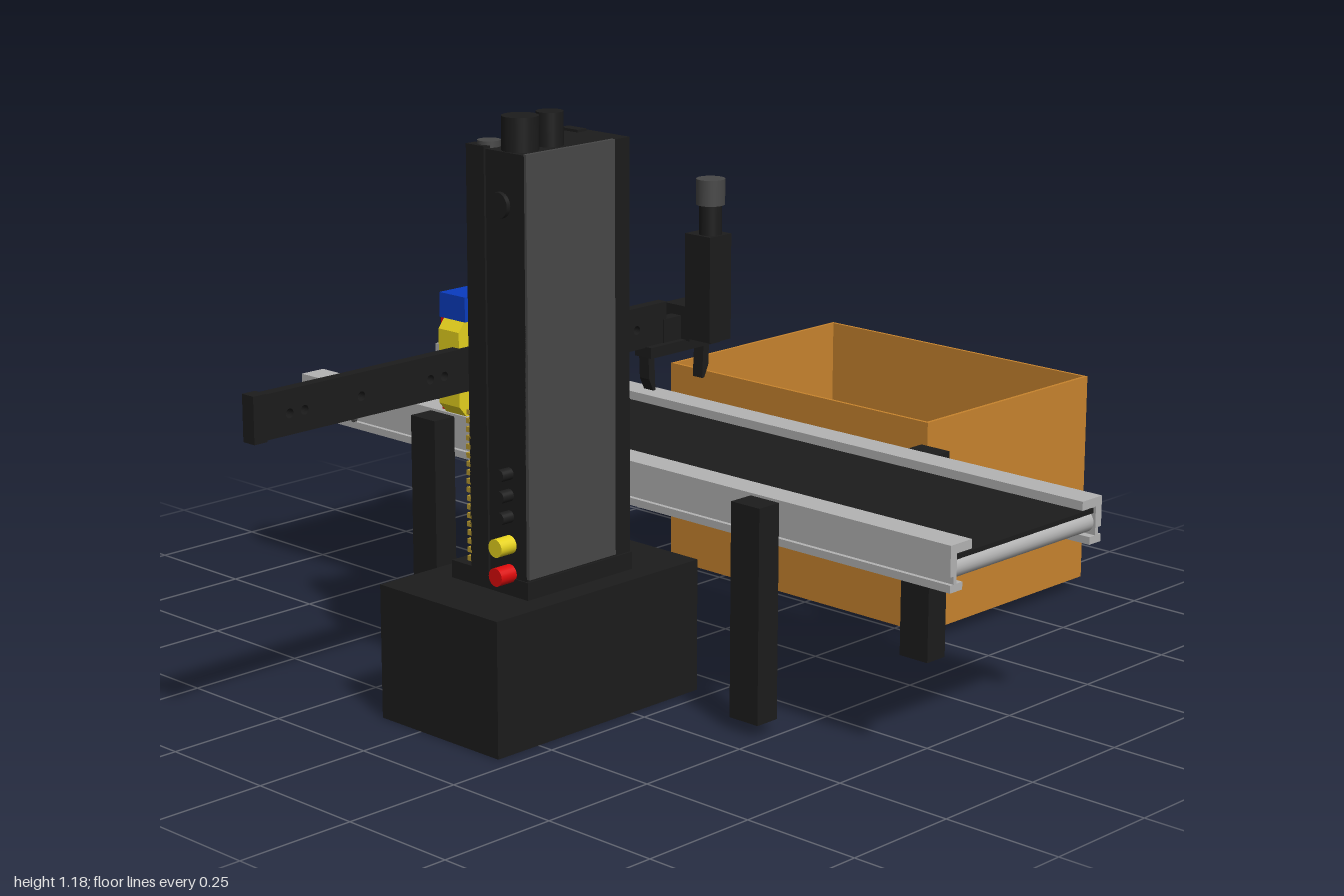
import * as THREE from 'three';

const mat = (color, side = THREE.FrontSide) => new THREE.MeshStandardMaterial({ color, side });
const BLACK = mat(0x1c1c1c), DARK = mat(0x484848), STEEL = mat(0xb4b4b4), BED = mat(0x6a6a6a);
const ORANGE = mat(0xc8842e), YELLOW = mat(0xe6d21e), BLUE = mat(0x0a3cc0), RED = mat(0xdc0a0a), GOLD = mat(0xb89a30);

function add(parent, name, geometry, material) {
  const mesh = new THREE.Mesh(geometry, material);
  mesh.name = name;
  parent.add(mesh);
  return mesh;
}

// Box given by its limits on each axis
function box(parent, name, material, x0, x1, y0, y1, z0, z1) {
  const mesh = add(parent, name, new THREE.BoxGeometry(x1 - x0, y1 - y0, z1 - z0), material);
  mesh.position.set((x0 + x1) / 2, (y0 + y1) / 2, (z0 + z1) / 2);
  return mesh;
}

// Cylinder centred on a point, along the given axis
function rod(parent, name, material, r, length, x, y, z, axis = 'y') {
  const mesh = add(parent, name, new THREE.CylinderGeometry(r, r, length, 24), material);
  mesh.position.set(x, y, z);
  if (axis === 'x') mesh.rotation.z = Math.PI / 2;
  if (axis === 'z') mesh.rotation.x = Math.PI / 2;
  return mesh;
}

function polygon(points) {
  return new THREE.Shape(points.map(([x, y]) => new THREE.Vector2(x, y)));
}

function extrude(parent, name, material, shape, z0, z1) {
  const geometry = new THREE.ExtrudeGeometry(shape, { depth: z1 - z0, bevelEnabled: false, curveSegments: 12 });
  geometry.translate(0, 0, z0);
  return add(parent, name, geometry, material);
}

function group(parent, name) {
  const g = new THREE.Group();
  g.name = name;
  parent.add(g);
  return g;
}

function buildConveyor(parent) {
  const g = group(parent, 'conveyor');
  const mid = 0.095;
  // C-shaped side rails with a groove along the outside
  const profile = [[0.225, 0.46], [0.165, 0.46], [0.165, 0.442], [0.207, 0.442], [0.207, 0.385], [0.19, 0.385],
    [0.19, 0.37], [0.225, 0.37], [0.225, 0.385], [0.216, 0.385], [0.216, 0.4], [0.225, 0.4]];
  for (const s of [-1, 1]) {
    extrude(g, 'sideRail', STEEL, polygon(profile.map(([x, y]) => [mid + s * x, y])), -0.9, 0.9);
    const rail = mid + s * 0.225;
    for (const z of [-0.45, 0.45]) {
      box(g, 'leg', BLACK, Math.min(rail, rail + s * 0.055), Math.max(rail, rail + s * 0.055), 0.025, 0.455, z - 0.036, z + 0.036);
    }
    rod(g, 'endRoller', STEEL, 0.022, 0.41, mid, 0.41, s * 0.875, 'x');
    // tension slot and bolts near the back end
    box(g, 'tensionSlot', DARK, rail - 0.002, rail + 0.002, 0.408, 0.416, -0.89, -0.82);
    for (let i = 0; i < 4; i++) rod(g, 'railBolt', DARK, 0.006, 0.008, rail, 0.39, -0.73 - i * 0.025, 'x');
  }
  box(g, 'belt', BLACK, mid - 0.207, mid + 0.207, 0.428, 0.437, -0.895, 0.895);
  box(g, 'beltBed', BED, mid - 0.207, mid + 0.207, 0.396, 0.428, -0.85, 0.85);
}

function buildCrate(parent) {
  const g = group(parent, 'openBox');
  const t = 0.007;
  box(g, 'boxFloor', ORANGE, 0.46, 0.995, 0.025, 0.025 + t, -0.36, 0.36);
  box(g, 'boxSide', ORANGE, 0.46, 0.46 + t, 0.025, 0.473, -0.36, 0.36);
  box(g, 'boxSide', ORANGE, 0.995 - t, 0.995, 0.025, 0.473, -0.36, 0.36);
  box(g, 'boxEnd', ORANGE, 0.46 + t, 0.995 - t, 0.025, 0.473, 0.36 - t, 0.36);
  box(g, 'boxEnd', ORANGE, 0.46 + t, 0.995 - t, 0.025, 0.473, -0.36, -0.36 + t);
}

function buildColumn(parent) {
  const g = group(parent, 'column');
  box(g, 'base', BLACK, -0.605, -0.065, 0, 0.27, -0.11, 0.215);
  box(g, 'columnFoot', BLACK, -0.478, -0.198, 0.27, 0.305, -0.045, 0.166);
  box(g, 'columnBody', BLACK, -0.475, -0.2, 0.3, 1.12, 0.025, 0.162);
  box(g, 'frontPanel', DARK, -0.475, -0.245, 0.31, 1.122, 0.16, 0.168);
  box(g, 'backPanel', DARK, -0.455, -0.255, 0.85, 1.11, 0.02, 0.028);
  // vertical guides and toothed drive on the back
  for (const x of [-0.468, -0.225]) box(g, 'verticalGuide', BLACK, x - 0.012, x + 0.012, 0.3, 1.125, 0.012, 0.06);
  for (let i = 0; i < 18; i++) box(g, 'driveTooth', GOLD, -0.48, -0.458, 0.315 + i * 0.017, 0.325 + i * 0.017, 0.002, 0.014);
  // fittings on top
  rod(g, 'topMotor', BLACK, 0.035, 0.065, -0.437, 1.152, 0.113);
  rod(g, 'topConnector', BLACK, 0.026, 0.065, -0.366, 1.152, 0.118);
  rod(g, 'topCap', DARK, 0.022, 0.012, -0.45, 1.126, 0.043);
  // controls on the side
  rod(g, 'redButton', RED, 0.018, 0.04, -0.494, 0.313, 0.115, 'x');
  rod(g, 'yellowButton', YELLOW, 0.018, 0.04, -0.494, 0.37, 0.115, 'x');
  for (let i = 0; i < 3; i++) rod(g, 'cableSocket', BLACK, 0.012, 0.03, -0.487, 0.425 + i * 0.042, 0.115, 'x');
  rod(g, 'sideCap', BLACK, 0.025, 0.012, -0.478, 1.02, 0.1, 'x');
  for (let i = 0; i < 5; i++) rod(g, 'sideBolt', BLACK, 0.008, 0.008, -0.198, 0.4 + i * 0.16, 0.09, 'x');
}

function buildCarriage(parent) {
  const g = group(parent, 'carriage');
  box(g, 'carriagePlate', DARK, -0.46, -0.22, 0.6, 0.865, 0.008, 0.024);
  // yellow side frames with cut corners
  const frame = polygon([[-0.48, 0.6], [-0.2, 0.6], [-0.185, 0.62], [-0.185, 0.765], [-0.2, 0.787],
    [-0.48, 0.787], [-0.497, 0.765], [-0.497, 0.62]]);
  const opening = [[-0.46, 0.645], [-0.46, 0.74], [-0.22, 0.74], [-0.22, 0.645]];
  frame.holes.push(new THREE.Path(opening.map(([x, y]) => new THREE.Vector2(x, y))));
  extrude(g, 'yellowFrame', YELLOW, frame, -0.052, 0.004);
  box(g, 'redCover', RED, -0.485, -0.197, 0.605, 0.785, -0.058, -0.051);
  box(g, 'blueHousing', BLUE, -0.488, -0.197, 0.785, 0.833, -0.058, 0.012);
  for (const x of [-0.45, -0.41, -0.27, -0.23]) {
    for (const y of [0.65, 0.74]) rod(g, 'coverBolt', BLACK, 0.006, 0.006, x, y, -0.058, 'z');
  }
  rod(g, 'driveMotor', DARK, 0.02, 0.07, -0.25, 0.865, -0.03);
  rod(g, 'driveMotorCap', BLACK, 0.024, 0.06, -0.25, 0.928, -0.03);
}

function buildArm(parent) {
  const g = group(parent, 'arm');
  const shape = polygon([[-1, 0.65], [0.06, 0.65], [0.06, 0.735], [-1, 0.735]]);
  for (const x of [-0.915, -0.88, -0.745, -0.575, -0.54, -0.025]) {
    const hole = new THREE.Path();
    hole.absarc(x, 0.69, 0.009, 0, Math.PI * 2, true);
    shape.holes.push(hole);
  }
  extrude(g, 'horizontalBeam', BLACK, shape, -0.013, 0.01);
  box(g, 'beamEndCap', BLACK, -1, -0.97, 0.648, 0.737, -0.018, 0.013);

  // gripper at the end of the beam
  const h = group(g, 'gripper');
  box(h, 'gripperBar', BLACK, 0, 0.19, 0.63, 0.652, -0.02, 0.025);
  box(h, 'gripperBracket', BLACK, 0.05, 0.17, 0.65, 0.7, -0.015, 0.012);
  box(h, 'gripperEndPlate', BLACK, 0.168, 0.195, 0.632, 0.74, -0.035, 0.03);
  box(h, 'gripperMount', BLACK, 0.1, 0.17, 0.65, 0.72, -0.035, 0.035);
  box(h, 'gripperBody', BLACK, 0.1, 0.162, 0.655, 0.87, 0.022, 0.09);
  rod(h, 'gripperNeck', BLACK, 0.023, 0.065, 0.13, 0.9, 0.063);
  rod(h, 'gripperMotor', DARK, 0.029, 0.052, 0.13, 0.956, 0.063);
  // tapered fingers, mirrored about the gripper centre
  for (const s of [-1, 1]) {
    const pts = [[0.088, 0.632], [0.072, 0.632], [0.07, 0.6], [0.068, 0.56], [0.074, 0.56], [0.086, 0.585]];
    extrude(h, 'finger', BLACK, polygon(pts.map(([x, y]) => [0.092 + s * x, y])), -0.012, 0.014);
  }
}

export function createModel() {
  const model = new THREE.Group();
  model.name = 'pickAndPlaceStation';
  buildConveyor(model);
  buildCrate(model);
  buildColumn(model);
  buildCarriage(model);
  buildArm(model);
  return model;
}
